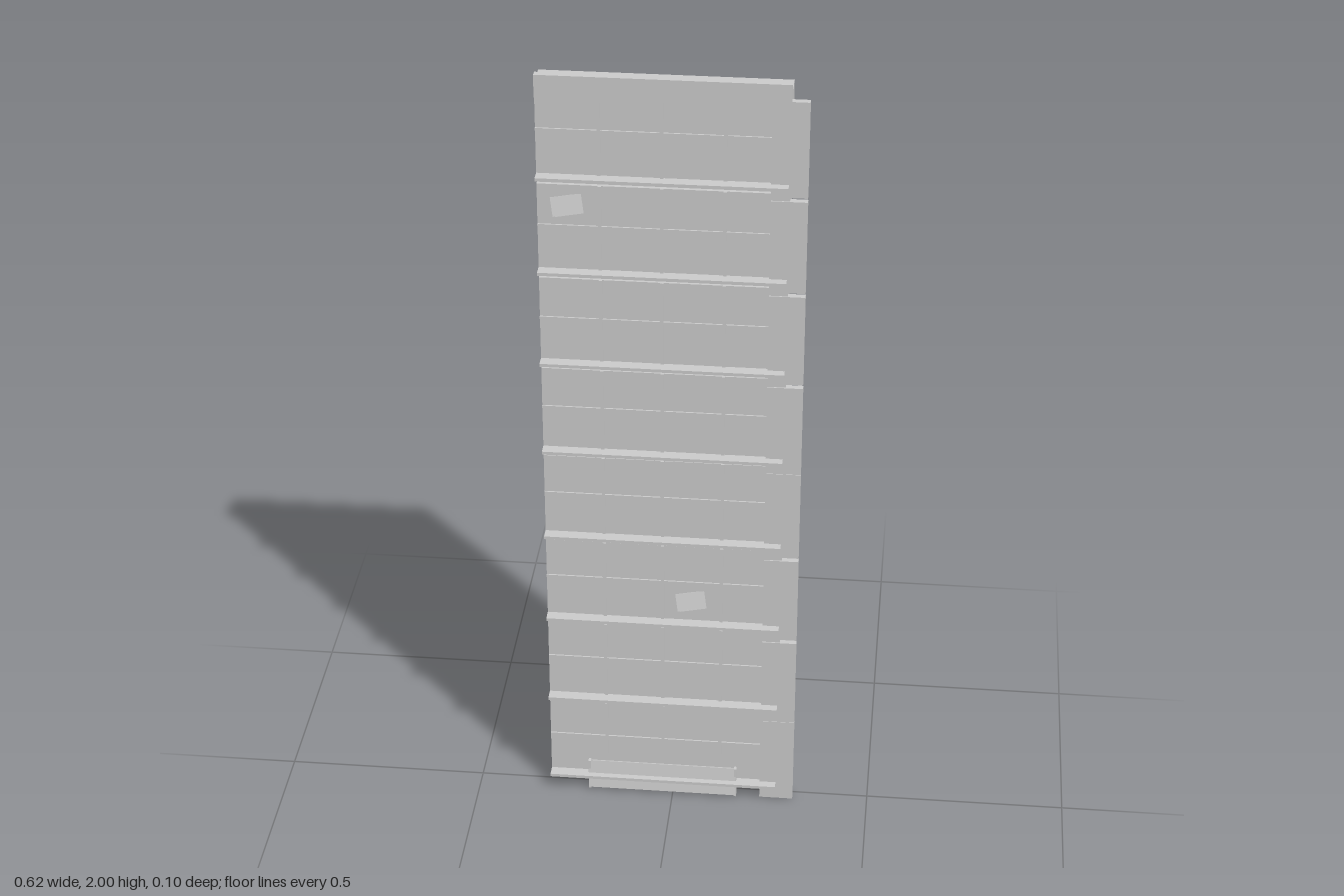
import * as THREE from 'three';

export function createModel() {
  const model = new THREE.Group();
  const material = new THREE.MeshStandardMaterial({ color: 0xcccccc, flatShading: true, side: THREE.DoubleSide });

  // box given by its limits on each axis
  function box(name, x0, x1, y0, y1, z0, z1, parent = model) {
    const mesh = new THREE.Mesh(new THREE.BoxGeometry(x1 - x0, y1 - y0, z1 - z0), material);
    mesh.position.set((x0 + x1) / 2, (y0 + y1) / 2, (z0 + z1) / 2);
    mesh.name = name;
    parent.add(mesh);
    return mesh;
  }

  const left = -0.315, right = 0.268, inner = 0.224;
  const floors = 8, pitch = 0.2428, firstLedge = 0.05;

  // rear slab and the band along the top
  box('slab', left, right, 0.03, 1.977, -0.052, 0);
  box('topBand', left, right, 1.945, 2, 0.013, 0.03);

  // one storey: ledge, wall panel, glazing bars
  for (let i = 0; i < floors; i++) {
    const storey = new THREE.Group();
    storey.name = 'storey' + (i + 1);
    model.add(storey);
    const y = firstLedge + i * pitch;
    const top = i === floors - 1 ? 1.95 : y + pitch - 0.023;
    box('ledge', left, 0.265, y - 0.004, y + 0.004, 0, 0.051, storey);
    box('wallPanel', left, inner, y + 0.003, top, 0.013, 0.022, storey);
    for (const x of [-0.17, -0.026, 0.12]) {
      box('verticalBar', x - 0.004, x + 0.004, y + 0.003, top, 0.02, 0.026, storey);
    }
    box('horizontalBar', left, inner, y + 0.111, y + 0.118, 0.02, 0.026, storey);
  }

  // narrow side strip: backing plus one plate per storey pair of joints
  box('sideBacking', inner, right, 0.01, 1.95, 0.016, 0.027);
  const joints = [0.004, 0.246, 0.494, 0.738, 0.983, 1.227, 1.471, 1.716, 1.964];
  for (let i = 0; i < joints.length - 1; i++) {
    // the lowest and middle joints are closed
    const gapLow = i === 0 || i === 1 || i === 4 ? 0.0005 : 0.005;
    const gapHigh = i === 0 || i === 3 ? 0.0005 : 0.005;
    box('sidePlate', inner, 0.309, joints[i] + gapLow, joints[i + 1] - gapHigh, 0.014, 0.03);
  }

  // entrance canopy: sloping plate with end cheeks
  const canopy = new THREE.Group();
  canopy.name = 'canopy';
  model.add(canopy);
  const plate = box('canopyPlate', -0.217, 0.163, 0.012, 0.09, 0.032, 0.036, canopy);
  plate.rotation.x = -0.14;
  for (const x of [-0.215, 0.161]) box('canopyCheek', x - 0.003, x + 0.003, 0.004, 0.09, 0.02, 0.034, canopy);
  box('canopyRail', -0.217, 0.163, 0.044, 0.048, 0.03, 0.042, canopy);

  // two small open window flaps
  for (const [x, y] of [[-0.245, 1.678], [0.045, 0.6]]) {
    const flap = new THREE.Group();
    flap.name = 'windowFlap';
    box('flapPane', -0.036, 0.036, -0.023, 0.023, -0.0015, 0.0015, flap);
    box('flapSill', -0.03, 0.036, -0.024, -0.021, -0.02, 0.002, flap);
    flap.position.set(x, y, 0.029);
    flap.rotation.set(-0.2, 0.1, 0.15);
    model.add(flap);
  }

  return model;
}
